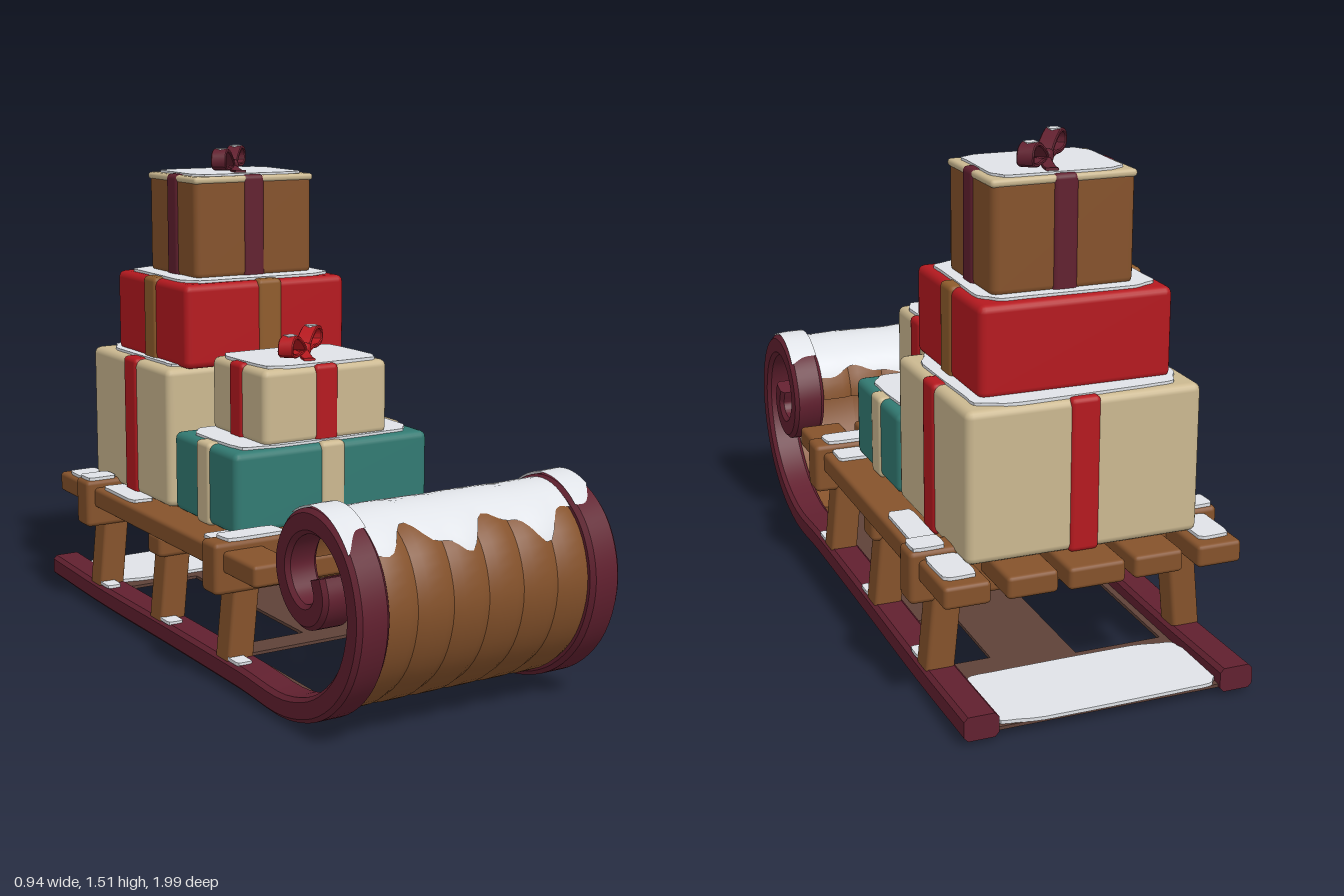
import * as THREE from 'three';
import { toCreasedNormals } from 'three/addons/utils/BufferGeometryUtils.js';
import { RoundedBoxGeometry } from 'three/addons/geometries/RoundedBoxGeometry.js';
import { ParametricGeometry } from 'three/addons/geometries/ParametricGeometry.js';

const mat = (name, color, side = THREE.FrontSide) => {
  const m = new THREE.MeshStandardMaterial({ color, side });
  m.name = name;
  return m;
};

// Path in the y-z plane, given as [z, y] pairs
const curve = pts => new THREE.CatmullRomCurve3(pts.map(([z, y]) => new THREE.Vector3(0, y, z)));

// Point and inward normal at t on a path
function frame(path, t) {
  const p = path.getPoint(t), d = path.getTangent(t);
  return { p, n: new THREE.Vector3(0, d.z, -d.y) };
}

// Sweep a counter-clockwise section [x, normal offset] along part of a path
function sweep(path, section, t0, t1, steps) {
  const pos = [], idx = [], k = section.length;
  for (let i = 0; i <= steps; i++) {
    const { p, n } = frame(path, t0 + (t1 - t0) * i / steps);
    for (const [x, o] of section) pos.push(x, p.y + n.y * o, p.z + n.z * o);
  }
  for (let i = 0; i < steps; i++) for (let j = 0; j < k; j++) {
    const a = i * k + j, b = i * k + (j + 1) % k;
    idx.push(a, b, b + k, a, b + k, a + k);
  }
  const e = steps * k;
  for (let j = 1; j < k - 1; j++) idx.push(0, j + 1, j, e, e + j, e + j + 1);
  const g = new THREE.BufferGeometry();
  g.setAttribute('position', new THREE.Float32BufferAttribute(pos, 3));
  g.setIndex(idx);
  return toCreasedNormals(g, 0.6);
}

// Box section with chamfered corners
const section = (w, h, c, x = 0) => [
  [x + w - c, -h], [x + w, -h + c], [x + w, h - c], [x + w - c, h],
  [x - w + c, h], [x - w, h - c], [x - w, -h + c], [x - w + c, -h]];

export function createModel() {
  const root = new THREE.Group();
  root.name = 'giftSleigh';
  const wood = mat('wood', 0x85522b), maroon = mat('maroon', 0x61202f), red = mat('red', 0xb5191f);
  const teal = mat('teal', 0x327a72), cream = mat('cream', 0xcbb890), tan = mat('tan', 0x8f5c2c);
  const snow = mat('snow', 0xe6e9ee, THREE.DoubleSide), dark = mat('darkBoard', 0x5e4138, THREE.DoubleSide);

  const add = (name, geo, m, x = 0, y = 0, z = 0, parent = root) => {
    const o = new THREE.Mesh(geo, m);
    o.name = name;
    o.position.set(x, y, z);
    parent.add(o);
    return o;
  };
  const block = (name, m, w, h, d, x, y, z, r = 0.012, parent = root) =>
    add(name, new RoundedBoxGeometry(w, h, d, 2, r), m, x, y, z, parent);

  // Ragged flat snow patch
  function snowPatch(x, y, z, w, d, seed = 1, h = 0.01, parent = root) {
    const pts = [];
    for (let i = 0; i < 40; i++) {
      const a = i / 40 * Math.PI * 2, c = Math.cos(a), s = Math.sin(a);
      const f = 0.965 + 0.035 * Math.sin(a * 5 + seed) * Math.cos(a * 3 + seed * 2);
      pts.push(new THREE.Vector2(Math.sign(c) * Math.abs(c) ** 0.3 * w / 2 * f,
        Math.sign(s) * Math.abs(s) ** 0.3 * d / 2 * f));
    }
    const g = new THREE.ExtrudeGeometry(new THREE.Shape(pts), { depth: h, bevelEnabled: false });
    add('snowPatch', g.rotateX(-Math.PI / 2), snow, x, y, z, parent);
  }

  // Runners with curled fronts
  const runnerPath = curve([[-0.99, 0.05], [-0.6, 0.042], [-0.1, 0.045], [0.35, 0.045], [0.62, 0.042],
    [0.8, 0.105], [0.92, 0.225], [0.963, 0.38], [0.92, 0.515], [0.83, 0.587], [0.73, 0.598], [0.64, 0.55],
    [0.597, 0.455], [0.63, 0.37], [0.7, 0.33], [0.765, 0.345], [0.797, 0.395], [0.78, 0.45]]);
  for (const s of [-1, 1])
    add('runner', sweep(runnerPath, section(0.05, 0.035, 0.012, s * 0.38), 0, 1, 90), maroon);

  // Curved front panel of six rounded planks
  const at = i => i / 17;
  for (let i = 0; i < 6; i++) {
    const x = -0.2875 + i * 0.115, w = 0.0575;
    const plank = [[x - w, -0.008], [x - w * 0.5, -0.018], [x + w * 0.5, -0.018],
      [x + w, -0.008], [x + w, 0.012], [x - w, 0.012]];
    add('frontPlank', sweep(runnerPath, plank, at(4), at(12), 36), wood);
  }

  // Snow draped over the curl
  const drape = (x0, x1, lift, ta, tb, seed) => add('curlSnow', new ParametricGeometry((u, v, out) => {
    const x = x0 + (x1 - x0) * u, wob = Math.sin(x * 23 + seed) * 0.35 + Math.sin(x * 51 + seed) * 0.15;
    const a = at(ta + wob), b = at(tb + wob * 0.4);
    const { p, n } = frame(runnerPath, a + (b - a) * v);
    const o = -(lift + 0.008 * Math.sin(Math.PI * v));
    out.set(x, p.y + n.y * o, p.z + n.z * o);
  }, 36, 14), snow);
  drape(-0.335, 0.335, 0.02, 8.3, 11.3, 0);
  drape(-0.425, -0.335, 0.036, 8.6, 10.8, 2);
  drape(0.335, 0.425, 0.036, 8.6, 10.8, 4);

  // Broken thin board between the runners
  const rect = (C, x0, z0, x1, z1) => new C([[x0, -z0], [x1, -z0], [x1, -z1], [x0, -z1]]
    .map(([x, y]) => new THREE.Vector2(x, y)));
  const board = rect(THREE.Shape, -0.35, -0.98, 0.35, 0.64);
  board.holes.push(rect(THREE.Path, -0.28, 0.15, 0.18, 0.56), rect(THREE.Path, -0.31, -0.66, -0.04, 0.06),
    rect(THREE.Path, 0.2, -0.6, 0.31, -0.3));
  add('lowerBoard', new THREE.ExtrudeGeometry(board, { depth: 0.01, bevelEnabled: false })
    .rotateX(-Math.PI / 2), dark, 0, 0.026, 0);
  snowPatch(0, 0.037, -0.845, 0.7, 0.3, 3);

  // Deck planks
  for (const [x, w, z0, z1] of [[-0.375, 0.135, -0.88, 0.475], [-0.187, 0.148, -0.88, 0.47],
    [0, 0.168, -0.885, 0.48], [0.187, 0.148, -0.88, 0.47], [0.375, 0.135, -0.88, 0.475]])
    block('deckPlank', wood, w, 0.065, z1 - z0, x, 0.378, (z0 + z1) / 2);

  // Cross bars and legs
  for (const [z, w, top] of [[0.25, 0.94, 0.435], [-0.19, 0.86, 0.35], [-0.64, 0.94, 0.435]]) {
    block('crossBar', wood, w, top - 0.28, 0.09, 0, (top + 0.28) / 2, z, 0.015);
    for (const s of [-1, 1]) {
      const leg = block('leg', wood, 0.085, 0.27, 0.085, s * 0.37, 0.195, z - 0.005);
      leg.rotation.z = s * 0.1;
      snowPatch(s * 0.4, 0.078, z + 0.06, 0.05, 0.07, z * 9);
    }
  }

  // Snow on the deck
  for (const s of [-1, 1]) {
    snowPatch(s * 0.38, 0.41, -0.76, 0.1, 0.16, s + 2);
    snowPatch(s * 0.385, 0.41, -0.46, 0.08, 0.24, s + 5);
    snowPatch(s * 0.37, 0.41, 0.16, 0.1, 0.09, s + 7);
    snowPatch(s * 0.33, 0.434, 0.25, 0.2, 0.08, s + 4);
    snowPatch(s * 0.41, 0.434, -0.64, 0.1, 0.08, s + 6);
  }
  snowPatch(0, 0.434, 0.25, 0.22, 0.075, 8);

  // Wrapped gift from its min and max corners, with crossing ribbons and a snowy top
  function gift(name, m, ribbon, [x0, x1], [y0, y1], [z0, z1], rz, rw, seed, cover = 0.95, back = 0.006) {
    const g = new THREE.Group();
    g.name = name;
    root.add(g);
    const w = x1 - x0, h = y1 - y0, d = z1 - z0, x = (x0 + x1) / 2, y = (y0 + y1) / 2, z = (z0 + z1) / 2;
    block('giftBox', m, w, h, d, x, y, z, 0.022, g);
    block('ribbonLengthwise', ribbon, rw, h + 0.008, d + 0.006 + back, -0.004, y, z + (0.006 - back) / 2, 0.015, g);
    block('ribbonAcross', ribbon, w + 0.012, h + 0.008, rw, x, y, rz, 0.015, g);
    snowPatch(x, y1 - 0.002, z, w * cover, d * cover, seed, 0.01, g);
    return g;
  }
  gift('largeCreamGift', cream, red, [-0.355, 0.34], [0.412, 0.85], [-0.78, -0.225], -0.49, 0.09, 1);
  gift('redGift', red, tan, [-0.3, 0.272], [0.848, 1.11], [-0.698, -0.202], -0.45, 0.085, 4, 0.93, -0.04);
  const tall = gift('tallBrownGift', wood, maroon, [-0.212, 0.21], [1.108, 1.43], [-0.63, -0.302], -0.458, 0.075, 2);
  block('lidEdge', cream, 0.428, 0.022, 0.334, -0.001, 1.42, -0.466, 0.01, tall);
  gift('tealGift', teal, cream, [-0.34, 0.34], [0.412, 0.66], [-0.218, 0.18], -0.02, 0.085, 5, 0.92);
  gift('smallCreamGift', cream, red, [-0.22, 0.215], [0.658, 0.89], [-0.19, 0.142], -0.03, 0.08, 3);

  // Bows with two loops, a knot and short tails
  const loop = curve([[0.005, 0.02], [0.05, 0.055], [0.11, 0.078], [0.15, 0.066], [0.155, 0.035],
    [0.115, 0.022], [0.06, 0.024], [0.005, 0.015]]);
  const tail = curve([[0, 0.025], [0.04, 0.02], [0.09, 0.012], [0.13, 0.014]]);
  function bow(m, x, y, z, turn) {
    const g = new THREE.Group();
    g.name = 'bow';
    g.position.set(x, y, z);
    root.add(g);
    for (const s of [0, Math.PI]) {
      add('bowLoop', sweep(loop, section(0.024, 0.006, 0.003), 0, 1, 24), m, 0, 0, 0, g).rotation.y = turn + s;
      add('bowTail', sweep(tail, section(0.018, 0.004, 0.002), 0, 1, 6), m, 0, 0, 0, g).rotation.y = turn + s + 0.5;
    }
    block('bowKnot', m, 0.06, 0.04, 0.045, 0, 0.025, 0, 0.015, g).rotation.y = turn;
    // Snow resting on the loops
    for (const s of [-1, 1])
      snowPatch(s * Math.sin(turn) * 0.11, 0.08, s * Math.cos(turn) * 0.11, 0.035, 0.035, s, 0.005, g);
  }
  bow(maroon, 0, 1.428, -0.475, -0.7);
  bow(red, 0.01, 0.888, -0.035, -0.83);

  return root;
}
